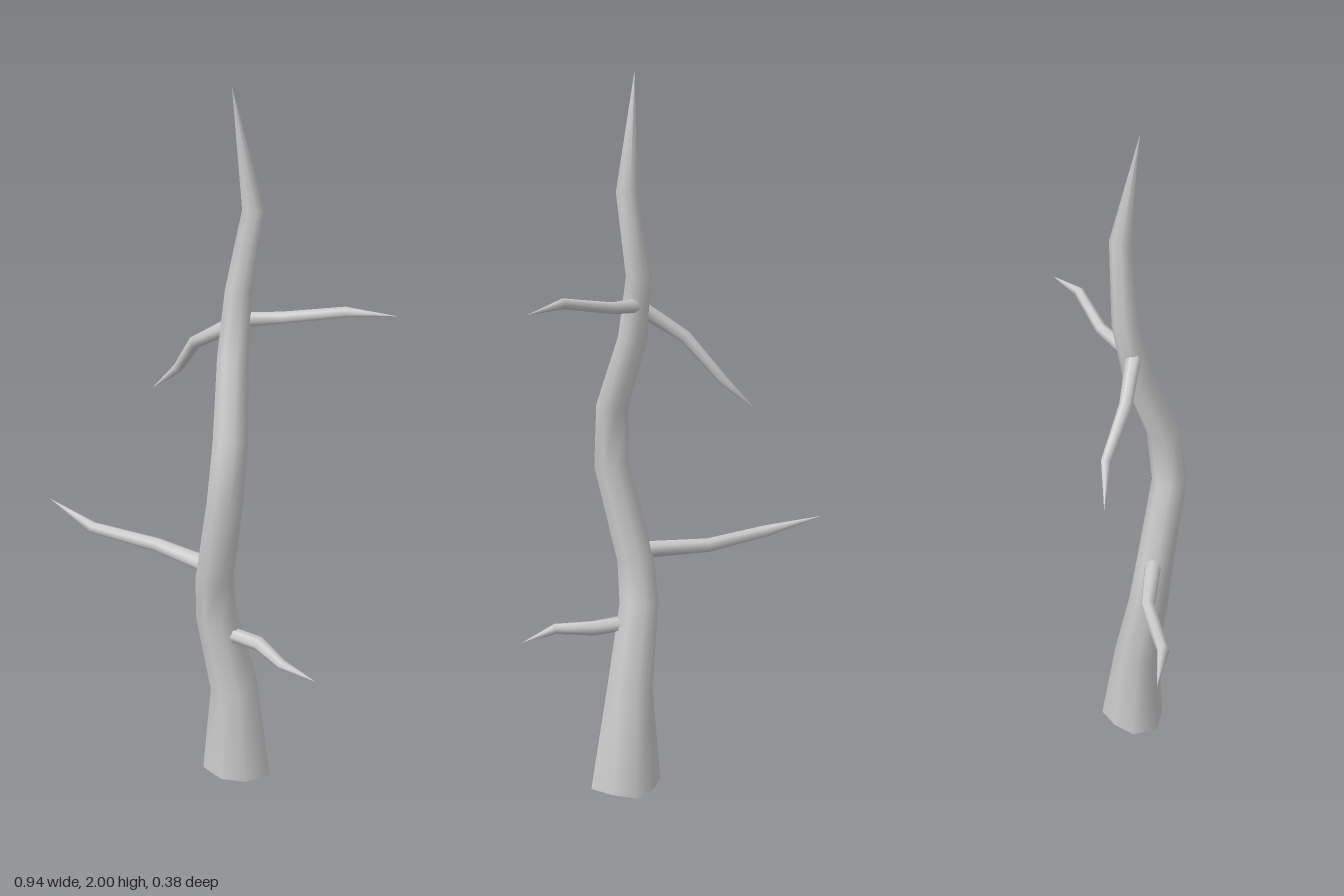
import * as THREE from 'three';

const UP = new THREE.Vector3(0, 1, 0);

// Lofts a tapering limb through [x, y, z, radius] stations, ending in a point.
// "flare" scales the radii of the first ring, one value per side.
function limb(name, stations, sides, material, flare) {
  const pts = stations.map(([x, y, z]) => new THREE.Vector3(x, y, z));
  const positions = [];
  const index = [];
  const last = pts.length - 1;
  for (let j = 0; j <= last; j++) {
    // ring plane halves the bend between the two neighbouring segments
    const dir = new THREE.Vector3();
    if (j > 0) dir.add(pts[j].clone().sub(pts[j - 1]).normalize());
    if (j < last) dir.add(pts[j + 1].clone().sub(pts[j]).normalize());
    if (flare && j === 0) dir.copy(UP);
    const turn = new THREE.Quaternion().setFromUnitVectors(UP, dir.normalize());
    for (let i = 0; i < sides; i++) {
      const a = (i / sides) * Math.PI * 2;
      const r = stations[j][3] * (flare && j === 0 ? flare[i] : 1);
      const p = new THREE.Vector3(Math.cos(a) * r, 0, Math.sin(a) * r);
      p.applyQuaternion(turn).add(pts[j]);
      positions.push(p.x, p.y, p.z);
    }
  }
  for (let j = 0; j < last; j++) {
    for (let i = 0; i < sides; i++) {
      const a = j * sides + i;
      const b = j * sides + ((i + 1) % sides);
      index.push(a, a + sides, b);
      if (j < last - 1) index.push(b, a + sides, b + sides);
    }
  }
  const geometry = new THREE.BufferGeometry();
  geometry.setAttribute('position', new THREE.Float32BufferAttribute(positions, 3));
  geometry.setIndex(index);
  geometry.computeVertexNormals();
  const mesh = new THREE.Mesh(geometry, material);
  mesh.name = name;
  return mesh;
}

export function createModel() {
  const tree = new THREE.Group();
  tree.name = 'bareTree';
  const bark = new THREE.MeshStandardMaterial({ color: 0xcccccc, side: THREE.DoubleSide });

  // crooked trunk, open underneath, with an uneven foot
  tree.add(limb('trunk', [
    [0.15, 0, 0.045, 0.1],
    [0.138, 0.285, 0.055, 0.068],
    [0.098, 0.53, 0.088, 0.058],
    [0.103, 0.66, 0.103, 0.054],
    [0.16, 0.93, 0.142, 0.05],
    [0.161, 1.1, 0.121, 0.047],
    [0.122, 1.3, 0.05, 0.042],
    [0.115, 1.47, 0.015, 0.036],
    [0.15, 1.69, 0.003, 0.03],
    [0.112, 2, 0.05, 0],
  ], 8, bark, [1.08, 0.92, 0.92, 1.05, 1, 0.84, 1, 0.84]));

  // four kinked branches, rooted inside the trunk
  const branches = {
    lowerLeftBranch: [
      [0.11, 0.475, 0.09, 0.023], [0.235, 0.472, 0.08, 0.021],
      [0.335, 0.466, 0.125, 0.015], [0.435, 0.44, 0.113, 0],
    ],
    lowerRightBranch: [
      [0.1, 0.683, 0.1, 0.025], [-0.105, 0.682, 0.082, 0.02],
      [-0.3, 0.695, 0.122, 0.017], [-0.47, 0.73, 0.103, 0],
    ],
    upperLeftBranch: [
      [0.12, 1.39, 0.015, 0.02], [0.21, 1.395, -0.05, 0.016],
      [0.358, 1.422, -0.113, 0.014], [0.47, 1.408, -0.19, 0],
    ],
    upperRightBranch: [
      [0.12, 1.39, 0.04, 0.022], [-0.015, 1.3, 0.018, 0.018],
      [-0.105, 1.185, -0.033, 0.014], [-0.2, 1.095, -0.037, 0],
    ],
  };
  for (const [name, stations] of Object.entries(branches)) {
    tree.add(limb(name, stations, 7, bark));
  }
  return tree;
}
